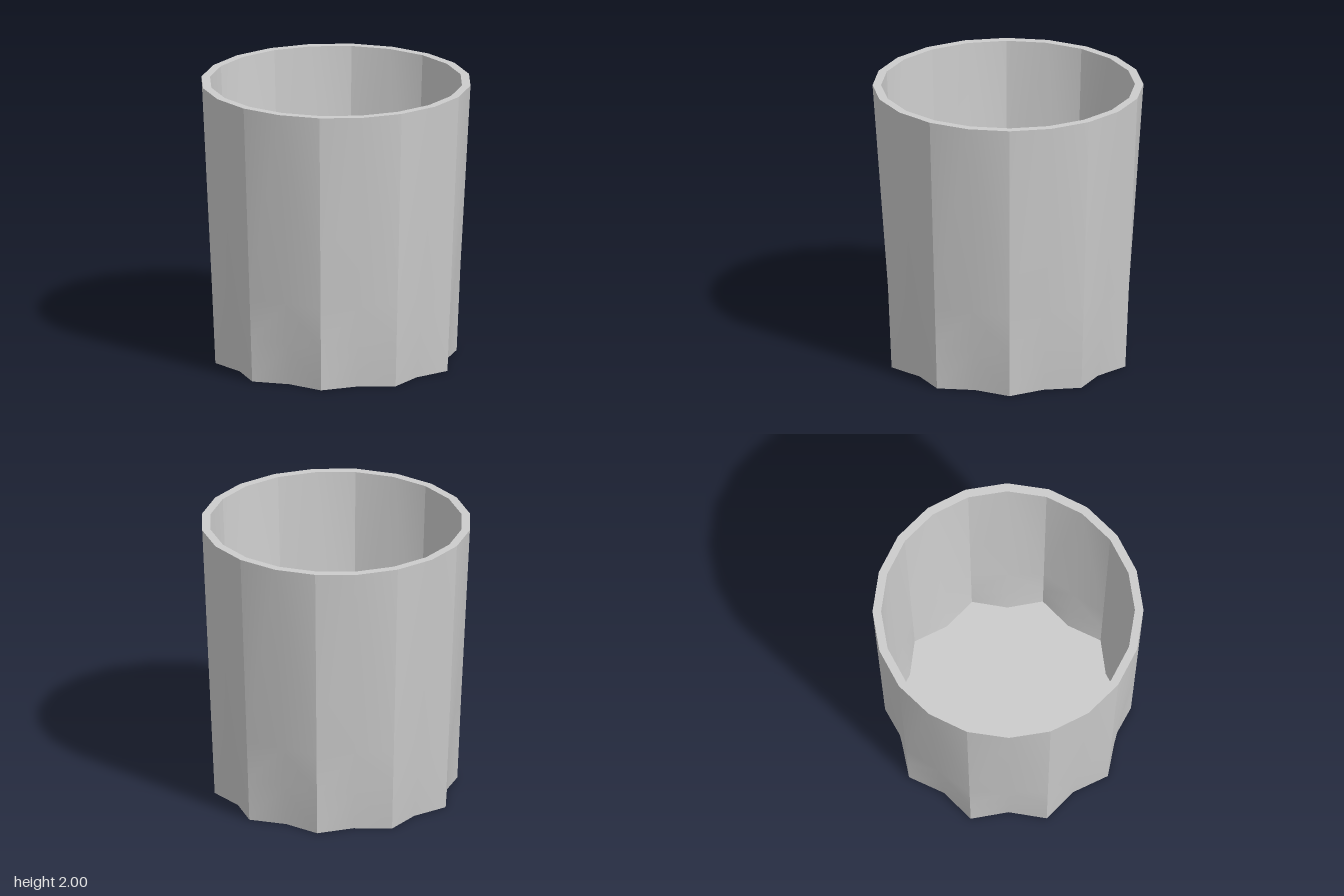
import * as THREE from 'three';
import { mergeGeometries } from 'three/addons/utils/BufferGeometryUtils.js';

const SIDES = 20; // even corners are ridges, odd corners are valleys
const WALL = 0.06;
const FLOOR = 0.09;

// Outer radius of each corner type: straight ridges, valleys that pull in towards the base
const ridge = y => 0.857 + 0.044 * y;
const valley = y => (y < 0.6 ? 0.768 + 0.112 * y : 0.835 + 0.0786 * (y - 0.6));
const radius = (i, y) => (i % 2 ? valley(y) : ridge(y));

const corner = (i, y, inset) => {
  const a = (i / SIDES) * Math.PI * 2;
  const r = radius(i, y) - inset;
  return [r * Math.cos(a), y, -r * Math.sin(a)];
};

// One flute: ridge, valley, ridge. Smooth inside, creased along its ridges.
function flute(start, levels, inset, inward) {
  const pos = [], index = [];
  for (const y of levels) for (let k = 0; k < 3; k++) pos.push(...corner(start + k, y, inset));
  for (let l = 0; l < levels.length - 1; l++) {
    for (let k = 0; k < 2; k++) {
      const a = l * 3 + k, b = a + 1, c = a + 3, d = a + 4;
      // diagonals mirrored about the valley
      const tris = k ? [[a, b, c], [b, d, c]] : [[a, b, d], [a, d, c]];
      for (const [p, q, r] of tris) index.push(...(inward ? [p, r, q] : [p, q, r]));
    }
  }
  const g = new THREE.BufferGeometry();
  g.setAttribute('position', new THREE.Float32BufferAttribute(pos, 3));
  g.setIndex(index);
  g.computeVertexNormals();
  return g;
}

function wall(levels, inset, inward) {
  const parts = [];
  for (let i = 0; i < SIDES; i += 2) parts.push(flute(i, levels, inset, inward));
  return mergeGeometries(parts);
}

// Flat outline of the cup at a height
const outline = (y, inset) => Array.from({ length: SIDES }, (_, i) => {
  const [x, , z] = corner(i, y, inset);
  return new THREE.Vector2(x, -z);
});

export function createModel() {
  const group = new THREE.Group();
  group.name = 'flutedCup';
  const material = new THREE.MeshStandardMaterial({ color: 0xcccccc });
  const add = (name, geometry) => {
    const mesh = new THREE.Mesh(geometry, material);
    mesh.name = name;
    group.add(mesh);
  };

  // Walls
  add('outerWall', wall([0, 0.3, 0.6, 2], 0, false));
  add('innerWall', wall([FLOOR, 0.3, 0.6, 2], WALL, true));

  // Rim
  const rim = new THREE.Shape(outline(2, 0));
  rim.holes.push(new THREE.Path(outline(2, WALL)));
  add('rim', new THREE.ShapeGeometry(rim).rotateX(-Math.PI / 2).translate(0, 2, 0));

  // Floor inside and underside
  add('floor', new THREE.ShapeGeometry(new THREE.Shape(outline(FLOOR, WALL)))
    .rotateX(-Math.PI / 2).translate(0, FLOOR, 0));
  add('underside', new THREE.ShapeGeometry(new THREE.Shape(outline(0, 0))).rotateX(Math.PI / 2));

  return group;
}
